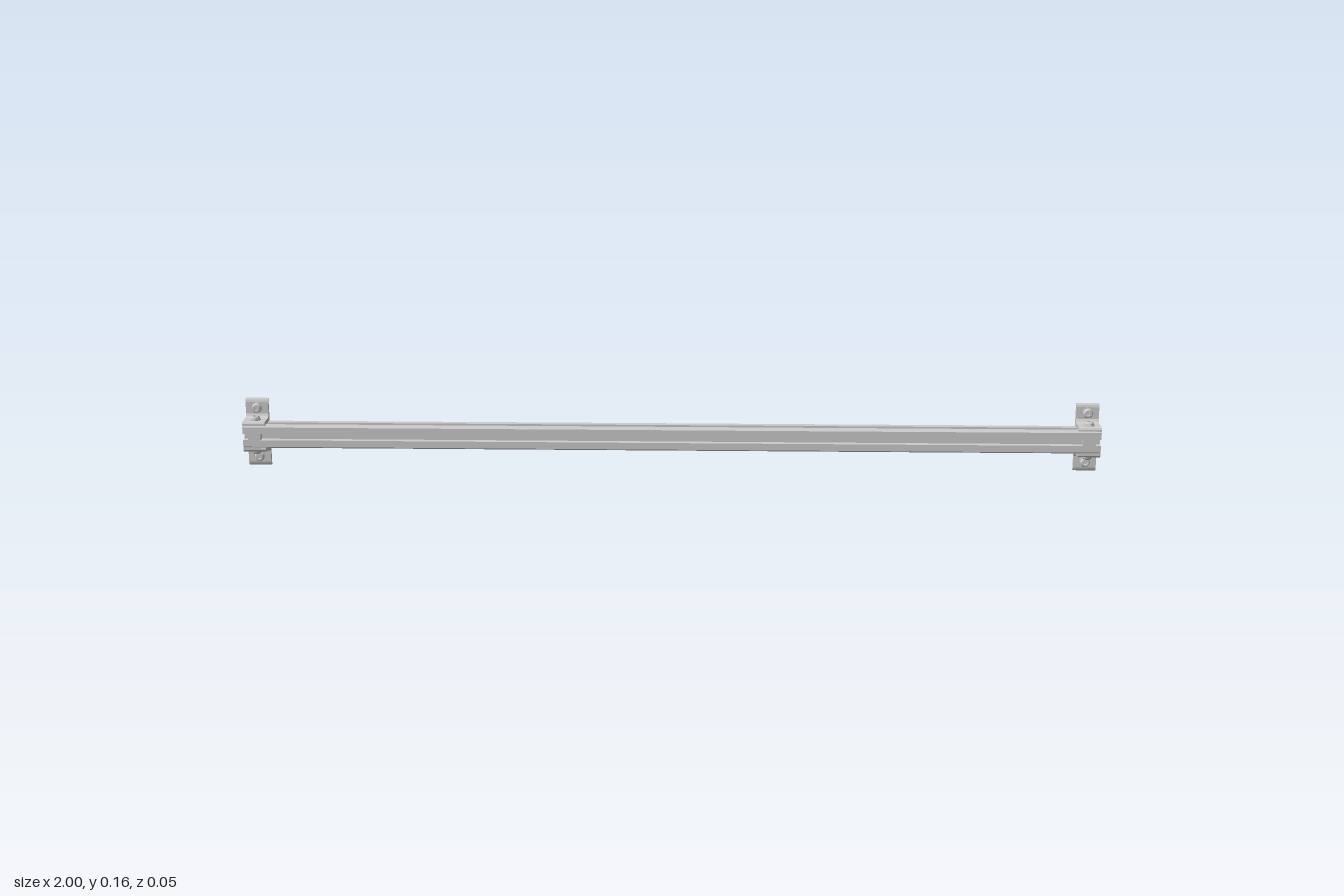
import * as THREE from 'three';

const CY = 0.0815;   // height of the rail axis
const H = 0.0265;    // half width of the square rail
const W = 0.053;     // bracket width along the rail
const material = new THREE.MeshStandardMaterial({ color: 0xcccccc });

function addMesh(parent, name, geometry) {
  const mesh = new THREE.Mesh(geometry, material);
  mesh.name = name;
  parent.add(mesh);
  return mesh;
}

// Extrudes a (z, y) outline along x, centred on x = 0.
function extrudeAlongX(points, length) {
  const shape = new THREE.Shape(points.map(([z, y]) => new THREE.Vector2(-z, y)));
  const geometry = new THREE.ExtrudeGeometry(shape, { depth: length, bevelEnabled: false });
  return geometry.translate(0, 0, -length / 2).rotateY(Math.PI / 2);
}

const turn = ([z, y], k) => {
  for (let i = 0; i < k; i++) [z, y] = [y, -z];
  return [z, y];
};

// One side of the slotted rail, repeated four times round the axis.
const side = [
  [-H, H - 0.003], [-H + 0.003, H],
  [-0.0075, H], [-0.0075, H - 0.005], [-0.0145, H - 0.005], [-0.0145, H - 0.009], [-0.008, 0.011],
  [0.008, 0.011], [0.0145, H - 0.009], [0.0145, H - 0.005], [0.0075, H - 0.005], [0.0075, H],
];

// Angle bracket: one leg on the rail, the other standing up flush with the back.
function bracketOutline(s) {
  const foot = H + 0.0005, top = 0.0365, tip = 0.0815;
  const points = [
    [-H, foot], [H, foot], [H, top - 0.005], [H - 0.002, top - 0.0015], [H - 0.006, top],
    [-0.009, top], [-0.015, top + 0.003], [-0.0185, top + 0.009],
    [-0.0185, tip - 0.008], [-0.020, tip - 0.003], [-0.023, tip], [-H, tip],
  ];
  return points.map(([z, y]) => [z, s * y]);
}

// Button-head bolt with washer and hexagonal socket, pointing along +y.
function makeBolt(name) {
  const bolt = new THREE.Group();
  bolt.name = name;
  const profile = [[0, -0.001], [0.0135, -0.001], [0.0135, 0.002], [0.0115, 0.002],
    [0.0112, 0.005], [0.0085, 0.009], [0.0055, 0.009]];
  const head = new THREE.LatheGeometry(profile.map(p => new THREE.Vector2(...p)), 24);
  addMesh(bolt, name + 'Head', head.toNonIndexed()).geometry.computeVertexNormals();
  // ring closing the head round the socket, with the socket floor below
  const ring = new THREE.Shape().absarc(0, 0, 0.006, 0, Math.PI * 2);
  const hex = new THREE.Path();
  for (let i = 0; i < 6; i++) {
    const a = -i * Math.PI / 3;
    hex[i ? 'lineTo' : 'moveTo'](0.005 * Math.cos(a), 0.005 * Math.sin(a));
  }
  hex.closePath();
  ring.holes.push(hex);
  const socket = new THREE.ExtrudeGeometry(ring, { depth: 0.005, bevelEnabled: false, curveSegments: 24 });
  addMesh(bolt, name + 'Socket', socket.rotateX(-Math.PI / 2).translate(0, 0.004, 0));
  addMesh(bolt, name + 'SocketFloor', new THREE.CircleGeometry(0.006, 12).rotateX(-Math.PI / 2).translate(0, 0.004, 0));
  return bolt;
}

export function createModel() {
  const model = new THREE.Group();
  model.name = 'mountingRail';
  const body = new THREE.Group();
  body.position.y = CY;
  model.add(body);

  const outline = [0, 1, 2, 3].flatMap(k => side.map(p => turn(p, k)));
  addMesh(body, 'slottedRail', extrudeAlongX(outline, 2));

  const nut = [[-0.0075, H], [-0.0075, H - 0.005], [-0.0143, H - 0.005], [-0.0143, H - 0.009], [-0.008, 0.0112],
    [0.008, 0.0112], [0.0143, H - 0.009], [0.0143, H - 0.005], [0.0075, H - 0.005], [0.0075, H]];

  for (const end of [-1, 1]) {
    const x = end * (1 - W / 2);
    const corner = new THREE.Group();
    corner.name = end > 0 ? 'leftEndFittings' : 'rightEndFittings';
    corner.position.x = x;
    body.add(corner);

    // nuts sitting in the slots behind the brackets
    for (let k = 0; k < 4; k++) {
      addMesh(corner, 'slotNut', extrudeAlongX(nut.map(([z, y]) => turn([z, y - 0.0005], k)), 0.03));
    }

    for (const s of [1, -1]) {
      addMesh(corner, s > 0 ? 'upperBracket' : 'lowerBracket', extrudeAlongX(bracketOutline(s), W));

      const railBolt = makeBolt('railBolt');
      railBolt.position.set(0, s * 0.0365, 0.004);
      if (s < 0) railBolt.rotation.x = Math.PI;
      corner.add(railBolt);

      const wallBolt = makeBolt('flangeBolt');
      wallBolt.position.set(0, s * 0.0595, -0.0185);
      wallBolt.rotation.x = Math.PI / 2;
      corner.add(wallBolt);
    }
  }
  return model;
}
